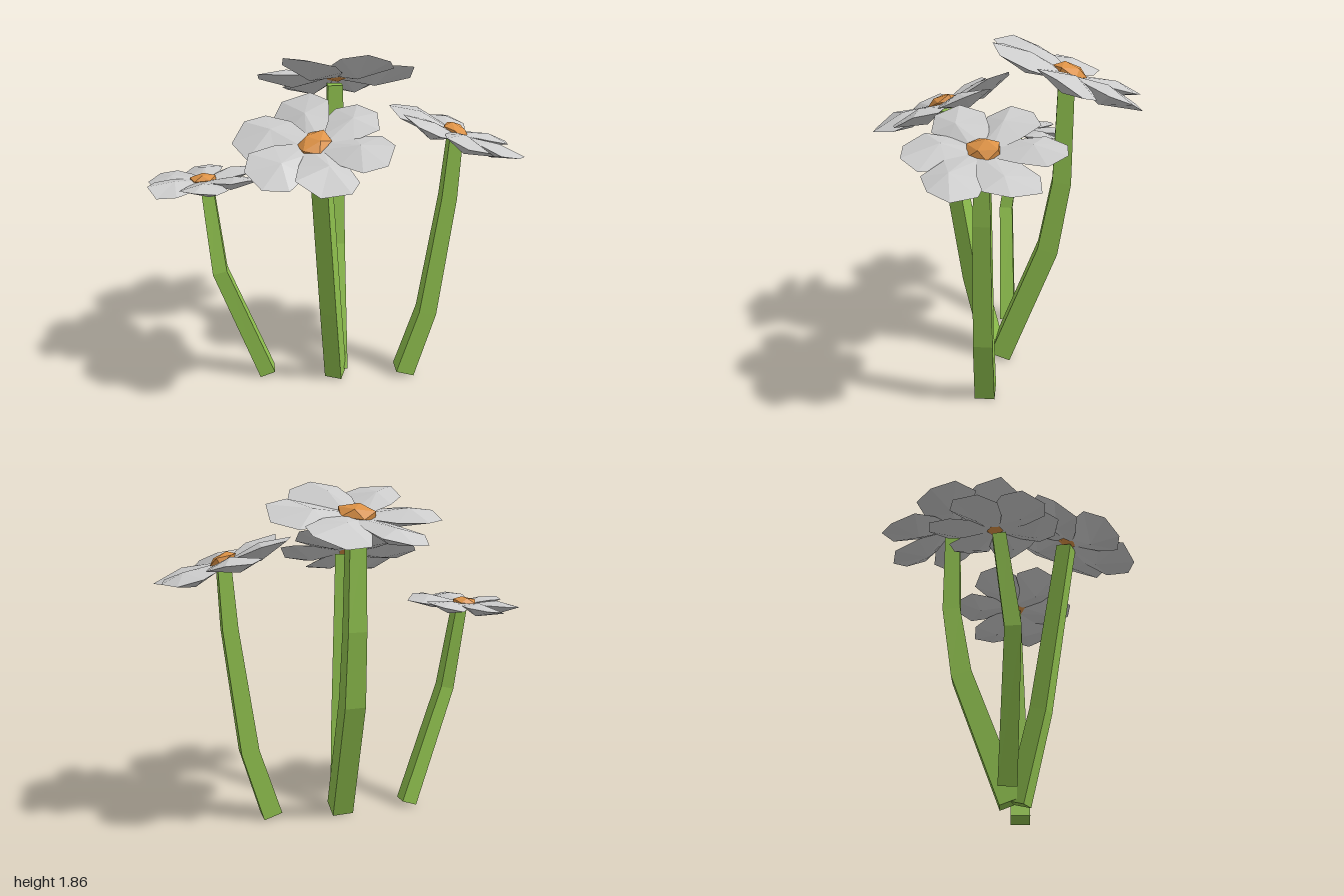
import * as THREE from 'three';

const petalMat = new THREE.MeshStandardMaterial({ color: 0xcccccc, flatShading: true });
const stemMat = new THREE.MeshStandardMaterial({ color: 0x8fc04e, flatShading: true });
const centerMat = new THREE.MeshStandardMaterial({ color: 0xdd9246, flatShading: true });

function makeRandom(seed) {
  let s = seed;
  return () => (s = (s * 16807) % 2147483647) / 2147483647 - 0.5;
}

function facets(triangles) {
  const geometry = new THREE.BufferGeometry().setFromPoints(triangles);
  geometry.computeVertexNormals();
  return geometry;
}

// Square stem swept along a few bends; each point is [x, y, z, half width]
function makeStem(points, twist) {
  const centers = points.map(p => new THREE.Vector3(p[0], p[1], p[2]));
  const rings = centers.map((c, i) => {
    const before = centers[Math.max(i - 1, 0)];
    const after = centers[Math.min(i + 1, centers.length - 1)];
    const t = after.clone().sub(before).normalize();
    const u = new THREE.Vector3(1, 0, 0).addScaledVector(t, -t.x).normalize();
    const v = u.clone().cross(t);
    return [0, 1, 2, 3].map(k => {
      const a = (k + 0.5) * Math.PI / 2 + twist;
      const r = points[i][3] * Math.SQRT2;
      return c.clone().addScaledVector(u, r * Math.cos(a)).addScaledVector(v, -r * Math.sin(a));
    });
  });
  const tris = [];
  for (let i = 0; i < rings.length - 1; i++) {
    for (let k = 0; k < 4; k++) {
      const n = (k + 1) % 4;
      const [a, b, c, d] = [rings[i][k], rings[i][n], rings[i + 1][n], rings[i + 1][k]];
      tris.push(a, b, c, a, c, d);
    }
  }
  const e = rings[0], f = rings[rings.length - 1];
  tris.push(e[0], e[2], e[1], e[0], e[3], e[2], f[0], f[1], f[2], f[0], f[2], f[3]);
  const stem = new THREE.Mesh(facets(tris), stemMat);
  stem.name = 'stem';
  return stem;
}

// Faceted petal pointing along +x: thin rim, raised top, hanging underside
function makePetal(random) {
  const side = [[0.02, 0.09], [0.4, 0.3], [0.73, 0.38], [0.99, 0.17]];
  const outline = [...side, ...side.slice().reverse().map(([r, w]) => [r, -w])];
  const tilt = 0.13 + random() * 0.16;
  const rim = outline.map(([r, w]) => {
    const j = 0.08 * r;
    return new THREE.Vector3(r + random() * j, 0.03 * r + w * tilt + random() * j, w + random() * j);
  });
  const top = new THREE.Vector3(0.58 + random() * 0.15, 0.11, random() * 0.16);
  const under = new THREE.Vector3(0.56 + random() * 0.1, -0.13, random() * 0.16);
  const tris = [];
  rim.forEach((p, i) => {
    const q = rim[(i + 1) % rim.length];
    tris.push(top, p, q, under, q, p);
  });
  return new THREE.Mesh(facets(tris), petalMat);
}

function makeFlower({ position, normal, radius, turn, seed }) {
  const flower = new THREE.Group();
  flower.name = 'flowerHead';
  const random = makeRandom(seed);
  for (let i = 0; i < 6; i++) {
    const petal = makePetal(random);
    petal.name = 'petal';
    petal.rotation.y = -THREE.MathUtils.degToRad(turn + i * 60);
    flower.add(petal);
  }
  // Chunky flattened heart of the flower
  const center = new THREE.Mesh(new THREE.IcosahedronGeometry(0.24, 0), centerMat);
  center.name = 'flowerCenter';
  center.scale.set(0.85, 0.4, 1.08);
  center.position.y = 0.04;
  center.rotation.set(0.12, seed, 0.12);
  flower.add(center);
  flower.scale.setScalar(radius);
  flower.position.set(...position);
  flower.quaternion.setFromUnitVectors(
    new THREE.Vector3(0, 1, 0), new THREE.Vector3(...normal).normalize());
  return flower;
}

const plants = [
  {
    name: 'rightFlower', twist: 0,
    stem: [[-0.39, 0.02, 0.005, 0.045], [-0.63, 0.7, 0.03, 0.04], [-0.675, 1.17, -0.035, 0.033]],
    head: { position: [-0.695, 1.195, -0.055], normal: [-0.07, 1, -0.06], radius: 0.31, turn: -35, seed: 11 },
  },
  {
    name: 'backFlower', twist: 0,
    stem: [[0.02, 0.025, 0.02, 0.06], [0.035, 0.72, -0.245, 0.057], [0.045, 1.12, -0.312, 0.05], [0.045, 1.65, -0.322, 0.042]],
    head: { position: [0.045, 1.69, -0.33], normal: [0, 1, -0.4], radius: 0.435, turn: 2, seed: 23 },
  },
  {
    name: 'frontFlower', twist: -0.4,
    stem: [[0.01, 0.02, 0.06, 0.05], [-0.03, 0.5, 0.18, 0.047], [-0.1, 1.46, 0.34, 0.042]],
    head: { position: [-0.125, 1.485, 0.345], normal: [-0.08, 1, 0.4], radius: 0.395, turn: 22, seed: 37 },
  },
  {
    name: 'leftFlower', twist: 0,
    stem: [[0.415, 0.02, 0.075, 0.054], [0.535, 0.41, 0.07, 0.05], [0.625, 1.1, 0.06, 0.042], [0.645, 1.42, 0.055, 0.036]],
    head: { position: [0.645, 1.45, 0.05], normal: [0.36, 1, 0], radius: 0.375, turn: 27, seed: 53 },
  },
];

export function createModel() {
  const model = new THREE.Group();
  model.name = 'flowers';
  for (const { name, twist, stem, head } of plants) {
    const plant = new THREE.Group();
    plant.name = name;
    plant.add(makeStem(stem, twist), makeFlower(head));
    model.add(plant);
  }
  return model;
}
